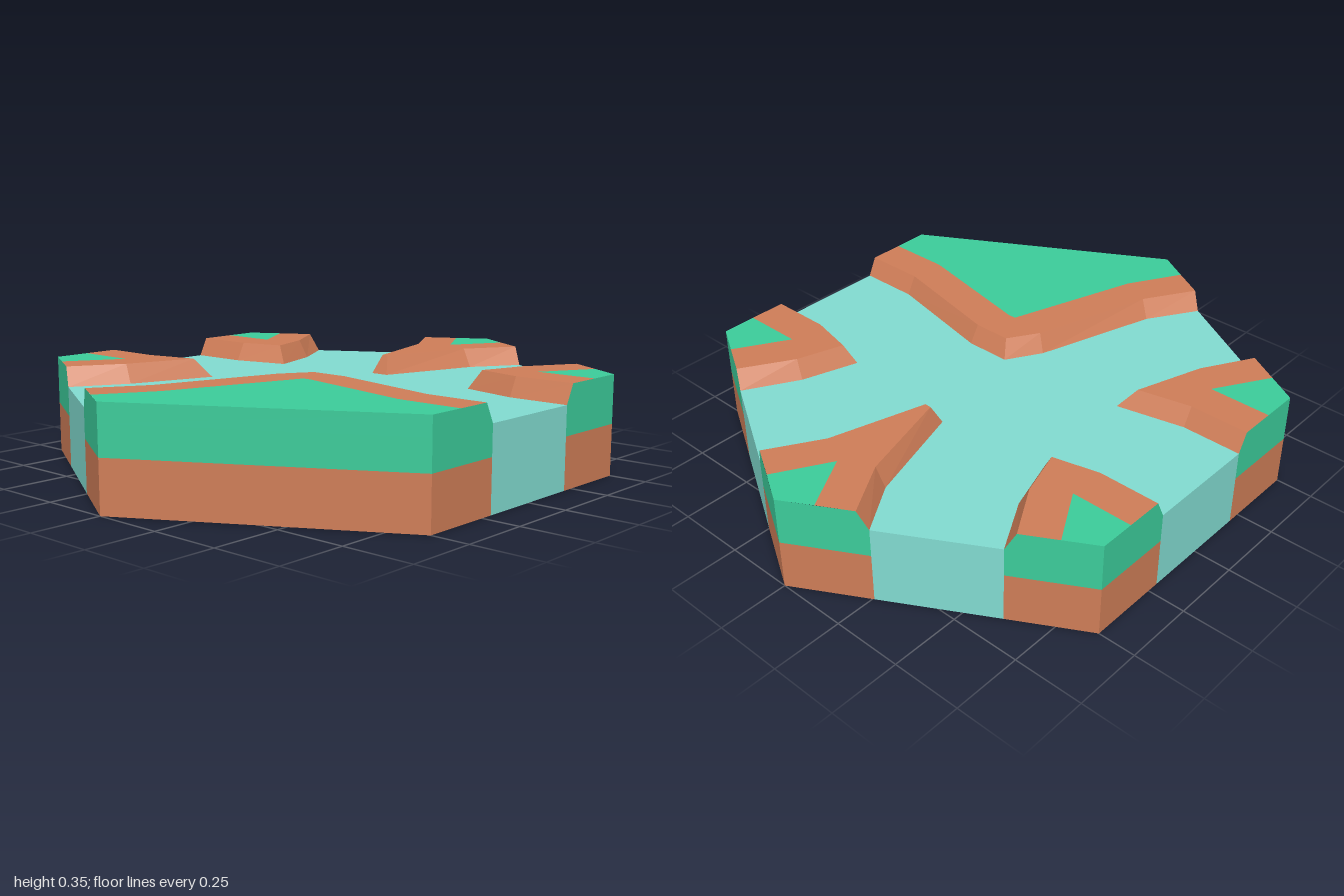
import * as THREE from 'three';

const TOP = 0.35, WATER = 0.283, SPLIT = 0.18;
const grass = new THREE.MeshStandardMaterial({ color: 0x3ccd9b });
const dirt = new THREE.MeshStandardMaterial({ color: 0xd07e58 });
const water = new THREE.MeshStandardMaterial({ color: 0x82ddd2 });

const mirrorX = (pts) => pts.map(([x, z]) => [-x, z]).reverse();

// Land pieces as [x, z] paths, counterclockwise seen from above:
// foot = bank at the water line, rim = bank at the top, patch = edge of the grass
const backCorner = {
  name: 'backBank',
  foot: [[-0.255, -0.853], [-0.145, -0.68], [-0.034, -0.31], [0.034, -0.31], [0.145, -0.68], [0.255, -0.853]],
  rim: [[-0.222, -0.872], [-0.11, -0.685], [-0.012, -0.342], [0.012, -0.342], [0.11, -0.685], [0.222, -0.872]],
  patch: [[-0.11, -0.936], [0, -0.745], [0.11, -0.936]],
  corners: [[0, -1]],
};
const backLeft = {
  name: 'backLeftBank',
  foot: [[0.611, -0.647], [0.504, -0.459], [0.44, -0.257], [0.647, -0.208], [0.866, -0.208]],
  rim: [[0.644, -0.628], [0.536, -0.448], [0.483, -0.28], [0.647, -0.241], [0.866, -0.241]],
  patch: [[0.757, -0.563], [0.647, -0.375], [0.866, -0.375]],
  corners: [[0.866, -0.5]],
};
const backRight = {
  name: 'backRightBank',
  foot: mirrorX(backLeft.foot),
  rim: mirrorX(backLeft.rim),
  patch: mirrorX(backLeft.patch),
  corners: mirrorX(backLeft.corners),
};
const frontRight = {
  name: 'frontRightBank',
  foot: [[-0.611, 0.647], [-0.507, 0.455], [-0.41, 0.152], [-0.65, 0.205], [-0.866, 0.205]],
  rim: [[-0.644, 0.628], [-0.54, 0.445], [-0.46, 0.197], [-0.65, 0.239], [-0.866, 0.239]],
  patch: [[-0.757, 0.563], [-0.64, 0.367], [-0.866, 0.367]],
  corners: [[-0.866, 0.5]],
};
const meadow = {
  name: 'frontMeadow',
  foot: [[0.866, 0.205], [0.647, 0.205], [0.228, 0.11], [0.064, 0.11], [-0.01, 0.235], [-0.145, 0.675], [-0.255, 0.853]],
  rim: [[0.866, 0.238], [0.645, 0.238], [0.222, 0.141], [0.085, 0.141], [0.018, 0.25], [-0.112, 0.69], [-0.222, 0.872]],
  patch: [[0.866, 0.367], [0.637, 0.367], [0.185, 0.268], [0.155, 0.268], [0, 0.745], [-0.11, 0.936]],
  corners: [[0, 1], [0.866, 0.5]],
};
// Counterclockwise around the tile
const lands = [backCorner, backRight, frontRight, meadow, backLeft];

// Horizontal face filling an outline
function flat(name, pts, y, material, down = false) {
  const shape = new THREE.Shape(pts.map(([x, z]) => new THREE.Vector2(x, down ? z : -z)));
  const geo = new THREE.ShapeGeometry(shape).rotateX(down ? Math.PI / 2 : -Math.PI / 2).translate(0, y, 0);
  const mesh = new THREE.Mesh(geo, material);
  mesh.name = name;
  return mesh;
}

// Strip of quads between a lower and an upper path
function strip(name, low, y0, high, y1, material) {
  const pos = [];
  for (let i = 0; i < low.length - 1; i++) {
    const a = [low[i][0], y0, low[i][1]], b = [low[i + 1][0], y0, low[i + 1][1]];
    const c = [high[i + 1][0], y1, high[i + 1][1]], d = [high[i][0], y1, high[i][1]];
    pos.push(...a, ...b, ...c, ...a, ...c, ...d);
  }
  const geo = new THREE.BufferGeometry();
  geo.setAttribute('position', new THREE.Float32BufferAttribute(pos, 3));
  geo.computeVertexNormals();
  const mesh = new THREE.Mesh(geo, material);
  mesh.name = name;
  return mesh;
}

function buildLand({ name, foot, rim, patch, corners }) {
  const group = new THREE.Group();
  group.name = name;
  const outer = [foot.at(-1), ...corners, foot[0]];
  const outerTop = [rim.at(-1), ...corners, rim[0]];
  group.add(
    strip('soilWall', outer, 0, outer, SPLIT, dirt),
    strip('grassWall', outer, SPLIT, outer, WATER, grass),
    strip('grassWallTop', outer, WATER, outerTop, TOP, grass),
    strip('bankSlope', foot, WATER, rim, TOP, dirt),
    flat('dirtRim', [...rim, ...[...patch].reverse()], TOP, dirt),
    flat('grassPatch', [...patch, ...corners], TOP, grass),
  );
  return group;
}

export function createModel() {
  const model = new THREE.Group();
  model.name = 'riverTile';
  lands.forEach((land) => model.add(buildLand(land)));

  // River surface, and its cut ends on the tile sides
  model.add(flat('riverSurface', lands.flatMap((l) => [...l.foot].reverse()), WATER, water));
  lands.forEach((land, i) => {
    const end = [land.foot[0], lands[(i + 1) % lands.length].foot.at(-1)];
    model.add(strip('riverEnd', end, 0, end, WATER, water));
  });

  // Underside
  const hex = [[0, -1], [-0.866, -0.5], [-0.866, 0.5], [0, 1], [0.866, 0.5], [0.866, -0.5]];
  model.add(flat('underside', hex, 0, dirt, true));
  return model;
}
